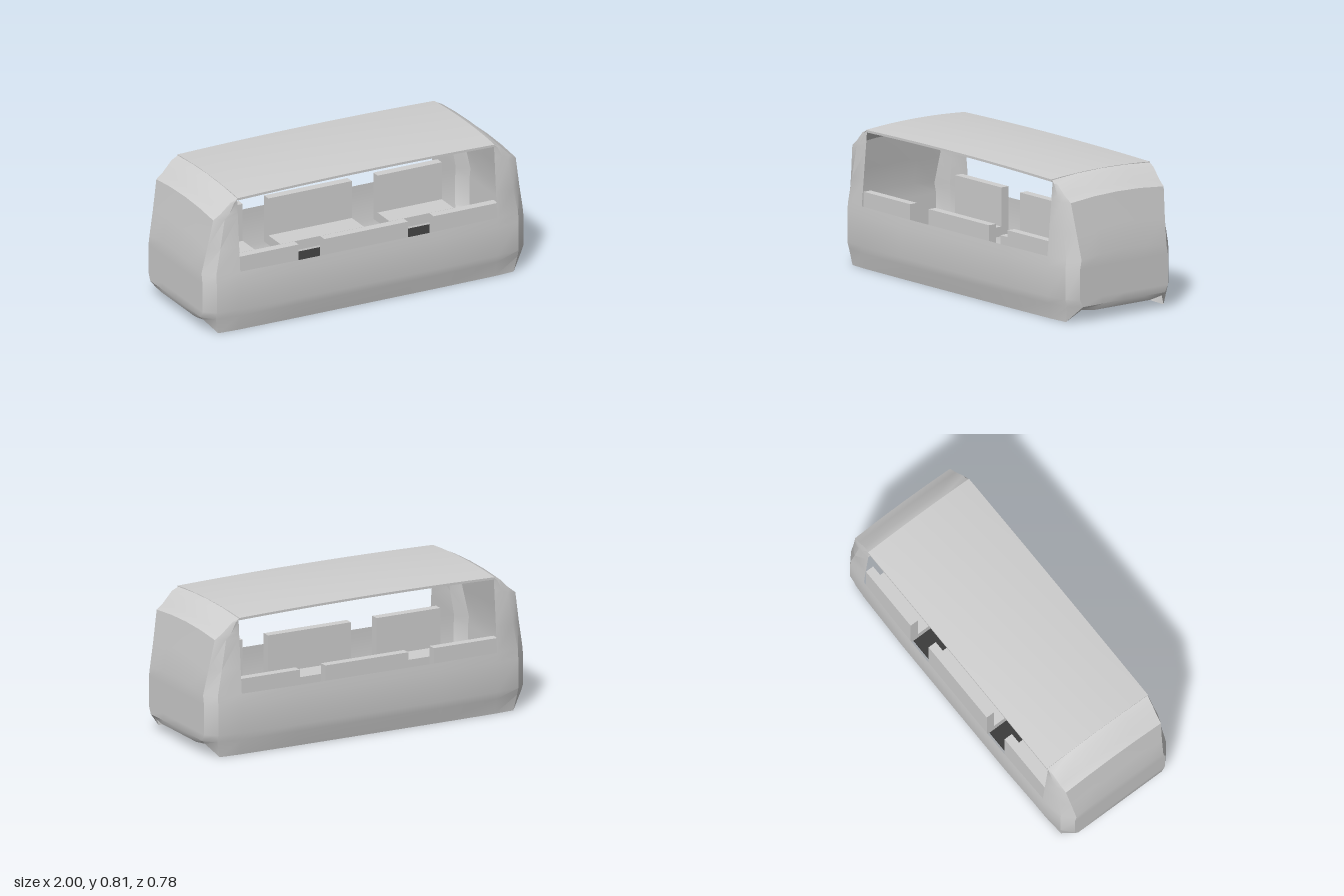
import * as THREE from 'three';
import { toCreasedNormals } from 'three/addons/utils/BufferGeometryUtils.js';

const WINDOW_X = 0.8;

// Mirrors a quarter outline (front centre to +x end centre) into a closed ring
function fullRing(q) {
  const n = q.length - 1;
  const back = q.slice(0, n).reverse().map(([x, y, z]) => [x, y, -z]);
  const half = [...q, ...back]; // front centre -> +x end -> back centre
  const other = half.slice(1, -1).reverse().map(([x, y, z]) => [-x, y, z]);
  return [...half, ...other];
}

// Horizontal section: height, half length, half width, half width at the end face, crown
function section([y, L, W, E, crown]) {
  const corner = Math.max(WINDOW_X + (L - WINDOW_X) * 0.5, L - 0.06);
  const end = (t) => [L, y + crown * (1 - t * t), E * t];
  return fullRing([
    [0, y, W], [0.45, y, W], [WINDOW_X, y, W - 0.008],
    [corner, y, W * 0.7 + E * 0.3],
    end(1), end(0.5), end(0),
  ]);
}

function shellGeometry() {
  // Bottom rim rises at both ends
  const rim = fullRing([
    [0, 0, 0.358], [0.45, 0, 0.358], [0.8, 0, 0.355], [0.92, 0, 0.347],
    [0.98, 0.07, 0.285], [0.985, 0.058, 0.2], [0.985, 0.058, 0],
  ]);
  const rows = [
    [0.09, 1.0, 0.382, 0.292, 0],
    [0.13, 1.0, 0.391, 0.312, 0],
    [0.30, 1.0, 0.391, 0.313, 0],
    [0.355, 1.0, 0.388, 0.302, 0.022],
    [0.50, 0.972, 0.375, 0.314, 0.02],
    [0.67, 0.942, 0.36, 0.33, 0.02],
    [0.70, 0.90, 0.357, 0.335, 0.018],
    [0.76, 0.84, 0.352, 0.342, 0.018],
    [0.778, 0.80, 0.35, 0.344, 0.017],
  ];
  const rings = [rim, ...rows.map(section)];
  const n = rim.length;
  const pos = [];
  for (let j = 0; j < rings.length - 1; j++) {
    for (let i = 0; i < n; i++) {
      const k = (i + 1) % n;
      const a = rings[j][i], b = rings[j][k], c = rings[j + 1][k], d = rings[j + 1][i];
      // Leave the long window opening empty on both sides
      const inside = [a, b].every((p) => Math.abs(p[0]) <= WINDOW_X + 0.001 && Math.abs(p[2]) > 0.2);
      if (j >= 4 && inside) continue;
      pos.push(...a, ...b, ...c, ...a, ...c, ...d);
    }
  }
  const g = new THREE.BufferGeometry();
  g.setAttribute('position', new THREE.Float32BufferAttribute(pos, 3));
  return toCreasedNormals(g, 0.6);
}

// Thin slab bent into a shallow crown
function roofGeometry() {
  const g = new THREE.BoxGeometry(1.6, 0.013, 0.702, 12, 1, 12);
  const p = g.attributes.position;
  for (let i = 0; i < p.count; i++) {
    const x = p.getX(i) / 0.8, z = p.getZ(i) / 0.351;
    p.setY(i, p.getY(i) + 0.801 - 0.011 * x * x - 0.015 * z * z);
  }
  return toCreasedNormals(g, 0.6);
}

export function createModel() {
  const bodyPaint = new THREE.MeshStandardMaterial({ color: 0xcfcfcf, side: THREE.DoubleSide });
  bodyPaint.name = 'light grey body';
  const floorPaint = new THREE.MeshStandardMaterial({ color: 0x383838 });
  floorPaint.name = 'dark floor';

  const model = new THREE.Group();
  model.name = 'cabin';
  const add = (name, geometry, material, parent = model) => {
    const mesh = new THREE.Mesh(geometry, material);
    mesh.name = name;
    parent.add(mesh);
    return mesh;
  };
  const box = (name, x0, x1, y0, y1, z0, z1, material, parent) =>
    add(name, new THREE.BoxGeometry(x1 - x0, y1 - y0, z1 - z0), material, parent)
      .position.set((x0 + x1) / 2, (y0 + y1) / 2, (z0 + z1) / 2);

  add('bodyShell', shellGeometry(), bodyPaint);
  add('roof', roofGeometry(), bodyPaint);
  box('floor', -0.85, 0.85, 0.06, 0.072, -0.31, 0.31, floorPaint);

  // Three benches along each long wall, facing the middle
  for (const side of [0, Math.PI]) {
    const row = new THREE.Group();
    row.name = side ? 'backBenches' : 'frontBenches';
    row.rotation.y = side;
    for (const [x0, x1] of [[-0.82, -0.42], [-0.26, 0.26], [0.42, 0.82]]) {
      box('seatBack', x0, x1, 0.155, 0.43, 0.3, 0.35, bodyPaint, row);
      box('seatCushion', x0, x1, 0.155, 0.21, 0.16, 0.3, bodyPaint, row);
    }
    model.add(row);
  }
  return model;
}
